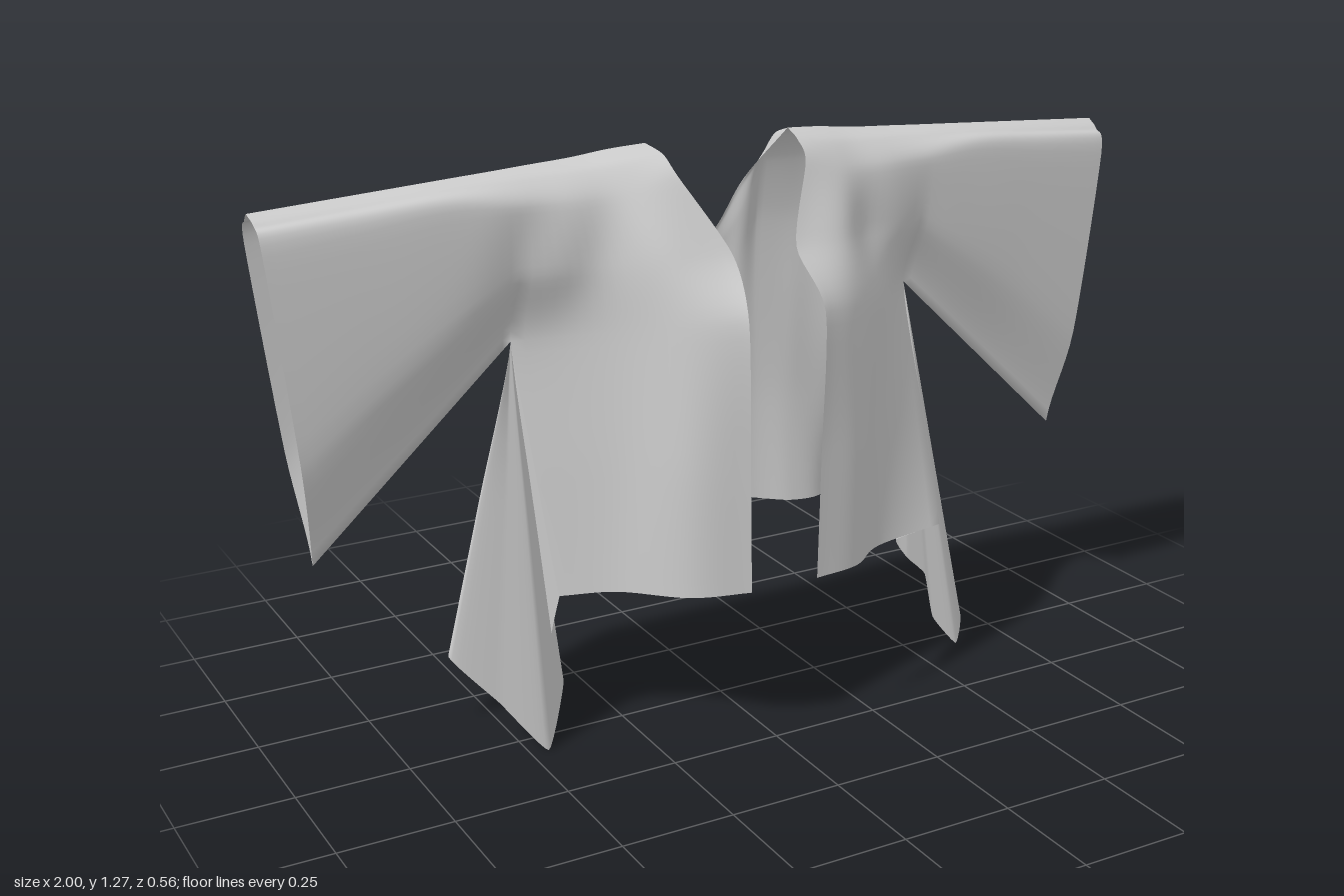
import * as THREE from 'three';
import { mergeVertices } from 'three/addons/utils/BufferGeometryUtils.js';

const SUB = 7; // samples per span between control points

// Cardinal spline through a list of points; low tension k gives sharper corners
function spline(pts, t, k = 0.5) {
  const i = Math.min(Math.floor(t), pts.length - 2), f = t - i;
  const b = pts[i], c = pts[i + 1];
  const a = pts[i - 1] || b.map((v, n) => 2 * v - c[n]);
  const d = pts[i + 2] || c.map((v, n) => 2 * v - b[n]);
  const blend = f * f * (3 - 2 * f), out = f * (1 - f) * (1 - f) * k, into = f * f * (f - 1) * k;
  return b.map((v, n) => v + blend * (c[n] - v) + out * (c[n] - a[n]) + into * (d[n] - v));
}

const lerp = (a, b, t) => a.map((v, n) => v + (b[n] - v) * t);

// Adds a raised point below the top of a column, so the cloth rolls over the shoulder
function rounded(col) {
  const p = lerp(col[0], col[1], 0.55);
  p[1] += 0.28 * (col[0][1] - col[1][1]);
  return [col[0], p, ...col.slice(1)];
}

export function createModel() {
  const group = new THREE.Group();
  const positions = [], index = [], parts = {};

  // Cloth sheet through control columns (each running top to bottom), rows r0..r1 only
  function sheet(name, side, columns, r0, r1, tension) {
    const cols = columns.map(rounded);
    const nu = (cols.length - 1) * SUB, nv = (r1 - r0) * SUB, start = positions.length / 3;
    for (let j = 0; j <= nv; j++) {
      const row = cols.map(c => spline(c, r0 + j / SUB, 0.38));
      for (let i = 0; i <= nu; i++) {
        const [x, y, z] = spline(row, i / SUB, tension);
        // soft creases spreading from the shoulder
        const crease = 0.005 * Math.sin(x * 34 + y * 12) * Math.exp(-(((x - 0.36) / 0.16) ** 2) - ((y - 1.1) / 0.13) ** 2);
        positions.push(side * x, y, z + crease);
      }
    }
    const list = (parts[name] ||= []);
    for (let j = 0; j < nv; j++) for (let i = 0; i < nu; i++) {
      const a = start + j * (nu + 1) + i, b = a + 1, c = a + nu + 1, d = c + 1;
      list.push(...(side > 0 ? [a, c, b, b, c, d] : [a, b, c, b, d, c]));
    }
  }

  const pit = [0.48, 0.9, -0.015];
  const shoulder = [[0.17, 1.278, -0.012], [0.25, 1.272, -0.02], [0.34, 1.262, -0.025], [0.48, 1.253, -0.025]];

  // belly: forward reach of the front panel at two places; neckHem: depth of the centre back hem
  function half(side, sideName, tail, belly, neckHem) {
    const hang = hem => [pit, lerp(pit, hem, 0.5), hem];
    const last = tail[tail.length - 1];
    const frontArm = [shoulder[3], [0.48, 1.19, 0.058], [0.48, 1.05, 0.045], ...hang(tail[0])];
    const backArm = [shoulder[3], [0.48, 1.19, -0.087], [0.48, 1.05, -0.075], ...hang(last)];

    // Front panel, from the open edge to the armhole
    const [b0, b1] = belly;
    sheet('body', side, [
      [shoulder[0], [0.15, 1.225, 0.095], [0.075, 1.075, 0.185], [0.09, 0.955, 0.279], [0.085, 0.65, 0.28], [0.08, 0.37, 0.278]],
      [shoulder[1], [0.24, 1.2, 0.085], [0.2, 1.075, 0.165], [0.19, 0.94, b0 - 0.015], [0.2, 0.65, b0], [0.2, 0.365, b0]],
      [shoulder[2], [0.34, 1.19, 0.065], [0.32, 1.06, 0.09], [0.31, 0.92, b1 - 0.02], [0.3, 0.65, b1], [0.31, 0.357, b1]],
      frontArm], 0, 6);

    // Draped side tail hanging from the underarm
    sheet('body', side, tail.map((hem, i) => {
      if (i === 0) return frontArm;
      if (i === tail.length - 1) return backArm;
      const arm = i < tail.length / 2 ? frontArm : backArm;
      return [...arm.slice(0, 3), ...hang(hem)];
    }), 4, 6, 0.2);

    // Back panel, from the armhole to the side of the neck
    const backNeck = [shoulder[0], [0.165, 1.2, -0.105], [0.17, 1.07, -0.135], [0.17, 0.9, -0.145], [0.18, 0.65, -0.15], [0.19, 0.39, -0.14]];
    sheet('body', side, [
      backArm,
      [shoulder[2], [0.34, 1.2, -0.087], [0.34, 1.06, -0.105], [0.34, 0.9, -0.105], [0.33, 0.65, -0.13], [0.34, 0.375, -0.13]],
      [shoulder[1], [0.25, 1.2, -0.097], [0.25, 1.06, -0.125], [0.25, 0.9, -0.13], [0.25, 0.65, -0.135], [0.26, 0.38, -0.12]],
      backNeck], 0, 6);

    // Centre back below the neckline
    const centre = (x, top, z, hem) => {
      const p = [x, top, z];
      return [0, 0.1, 0.25, 0.42, 0.7, 1].map(t => {
        const q = lerp(p, hem, t);
        q[2] -= 0.015 * Math.sin(Math.PI * t);
        return q;
      });
    };
    sheet('body', side, [
      backNeck,
      centre(0.125, 1.155, -0.118, [0.115, 0.405, neckHem[0]]),
      centre(0.065, 1.04, -0.147, [0.06, 0.415, neckHem[1]]),
      centre(0, 1.01, -0.155, [0, 0.405, -0.175])], 0, 6);

    // Wide flattened sleeve: front and back sheets meeting along top and bottom
    const sleeveCol = (t, front) => {
      const top = lerp(shoulder[3], [1, 1.22, -0.033], t);
      const low = lerp(pit, [0.92, 0.49, -0.03], t);
      const mid = (f, inset) => {
        const p = lerp(top, low, f);
        p[2] = front ? 0.06 - 0.032 * t - inset : -0.086 + inset;
        return p;
      };
      return [top, mid(0.1, 0), mid(0.58 + 0.1 * t, 0.007), low, [low[0], low[1] - 0.3, low[2]]];
    };
    const ts = [0.3, 0.65, 1];
    const name = sideName + 'Sleeve';
    sheet(name, side, [frontArm.slice(0, 5), ...ts.map(t => sleeveCol(t, true))], 0, 4);
    sheet(name, side, [...ts.map(t => sleeveCol(t, false)).reverse(), backArm.slice(0, 5)], 0, 4);
  }

  // Hem of each side tail, from front panel round to the back panel
  half(1, 'left', [
    [0.5, 0.36, 0.13], [0.43, 0.31, 0.06], [0.46, 0.26, 0.065], [0.51, 0.21, 0.065], [0.53, 0.1, 0.075],
    [0.595, 0.02, 0.082], [0.63, 0.08, 0.045], [0.58, 0.21, -0.09], [0.5, 0.31, -0.11], [0.42, 0.37, -0.21]],
  [0.25, 0.165], [-0.17, -0.28]);
  half(-1, 'right', [
    [0.41, 0.34, 0.035], [0.42, 0.24, 0.01], [0.39, 0.12, 0], [0.46, 0.003, 0.068],
    [0.56, 0.13, 0.045], [0.66, 0.25, 0.02], [0.57, 0.28, -0.09], [0.51, 0.3, -0.145], [0.43, 0.33, -0.165]],
  [0.23, 0.11], [-0.16, -0.17]);

  // Weld all sheets so shading runs smoothly across the seams, then split by part
  const names = Object.keys(parts);
  for (const n of names) for (const i of parts[n]) index.push(i);
  const raw = new THREE.BufferGeometry();
  raw.setAttribute('position', new THREE.Float32BufferAttribute(positions, 3));
  raw.setIndex(index);
  const welded = mergeVertices(raw, 1e-4);
  welded.computeVertexNormals();

  const material = new THREE.MeshStandardMaterial({ color: 0xcccccc, side: THREE.DoubleSide });
  let offset = 0;
  for (const n of names) {
    const geometry = new THREE.BufferGeometry();
    geometry.setAttribute('position', welded.attributes.position);
    geometry.setAttribute('normal', welded.attributes.normal);
    geometry.setIndex(Array.from(welded.index.array.slice(offset, offset + parts[n].length)));
    offset += parts[n].length;
    const mesh = new THREE.Mesh(geometry, material);
    mesh.name = n;
    group.add(mesh);
  }
  group.name = 'openJacket';
  return group;
}
